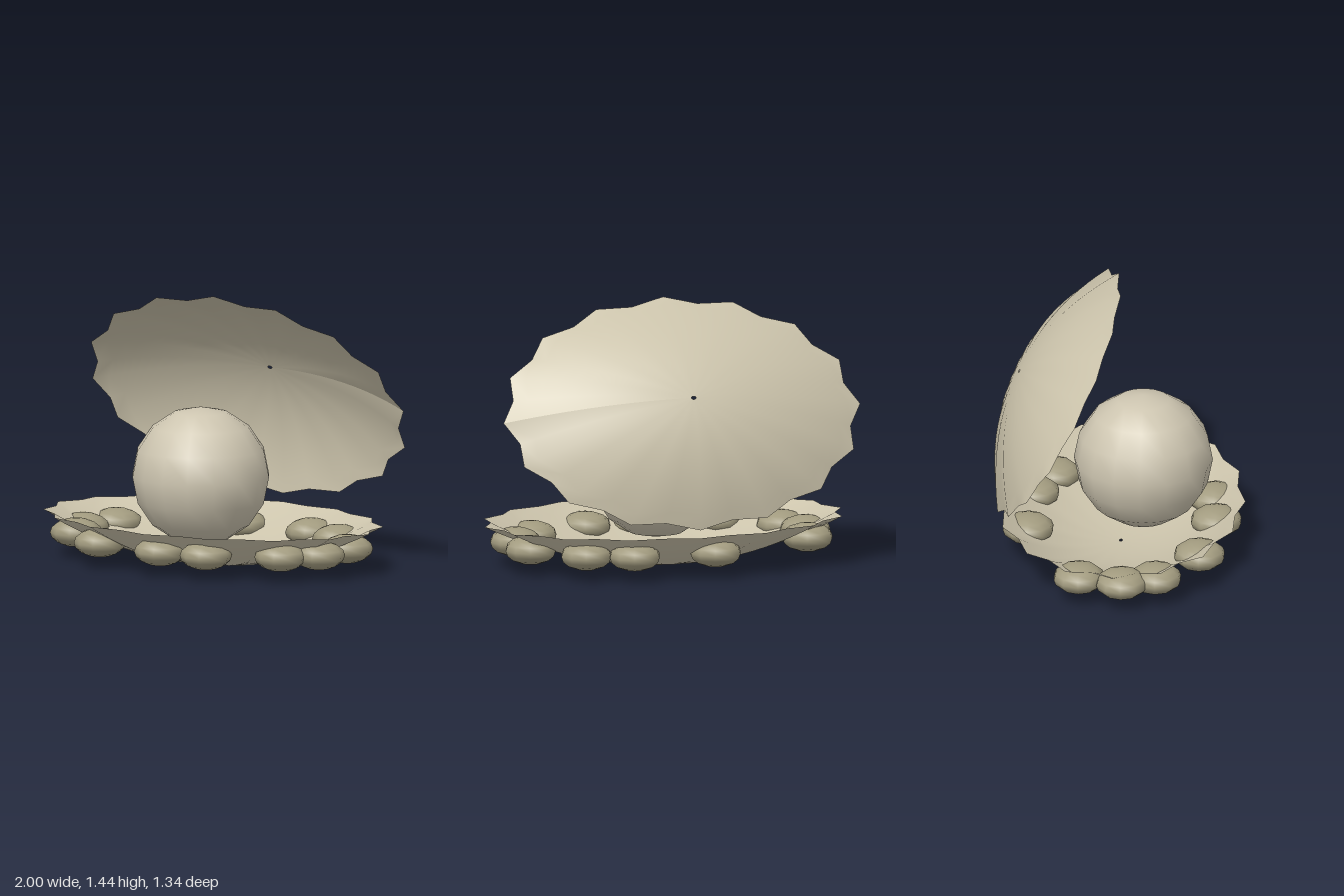
import * as THREE from 'three';

const FLUTES = 16, DEPTH = 0.243, Z_SCALE = 0.667, VALLEY = 0.945;

// Shallow fluted bowl; rim at y = 0, apex at y = -DEPTH (or +DEPTH when domed)
function shellGeometry(sign) {
  const profile = [];
  for (let i = 0; i <= 12; i++) {
    const r = 0.0135 + (1 - 0.0135) * i / 12;
    profile.push(new THREE.Vector2(r, sign * DEPTH * (1 - r * r)));
  }
  const geo = new THREE.LatheGeometry(profile, FLUTES * 2);
  const pos = geo.attributes.position;
  // every second rib is pulled inward to make the scalloped edge
  const perRib = profile.length;
  for (let i = 0; i < pos.count; i++) {
    const k = Math.floor(i / perRib) % 2 ? VALLEY : 1;
    pos.setXYZ(i, pos.getX(i) * k, pos.getY(i), pos.getZ(i) * k);
  }
  geo.rotateY(Math.PI / 2);
  geo.scale(1, 1, Z_SCALE);
  geo.computeVertexNormals();
  return geo;
}

export function createModel() {
  const group = new THREE.Group();
  const shellMat = new THREE.MeshStandardMaterial({ color: 0xcbc3ab, side: THREE.DoubleSide });
  shellMat.name = 'shell cream';
  const pearlMat = new THREE.MeshStandardMaterial({ color: 0xcdc5b0 });
  pearlMat.name = 'pearl cream';
  const pebbleMat = new THREE.MeshStandardMaterial({ color: 0xa29b7f });
  pebbleMat.name = 'pebble olive';

  const add = (name, geo, mat, x, y, z, parent = group) => {
    const mesh = new THREE.Mesh(geo, mat);
    mesh.name = name;
    mesh.position.set(x, y, z);
    parent.add(mesh);
    return mesh;
  };

  // Lower shell and the raised, tilted upper shell
  add('lowerShell', shellGeometry(-1), shellMat, 0, DEPTH, 0);
  const lid = add('upperShell', shellGeometry(1), shellMat, 0, 0.865, -0.335);
  lid.rotation.x = -Math.PI / 3;

  // Pearl
  add('pearl', new THREE.SphereGeometry(0.372, 16, 8), pearlMat, 0, 0.49, 0.12);

  // Flattened pebbles around the lower shell
  const pebbles = new THREE.Group();
  pebbles.name = 'pebbles';
  group.add(pebbles);
  const pebbleGeo = new THREE.SphereGeometry(0.14, 10, 8);
  pebbleGeo.scale(1, 0.55, 1);
  const spots = [
    [0, 0.51], [0.28, 0.49], [0.64, 0.31], [0.78, 0.15], [0.78, -0.12], [0.55, -0.38],
    [0.31, -0.48], [-0.14, -0.49], [-0.75, -0.19], [-0.81, 0.04], [-0.735, 0.22], [-0.435, 0.44],
  ];
  spots.forEach(([x, z], i) => add('pebble' + (i + 1), pebbleGeo, pebbleMat, x, 0.13, z, pebbles));

  return group;
}
